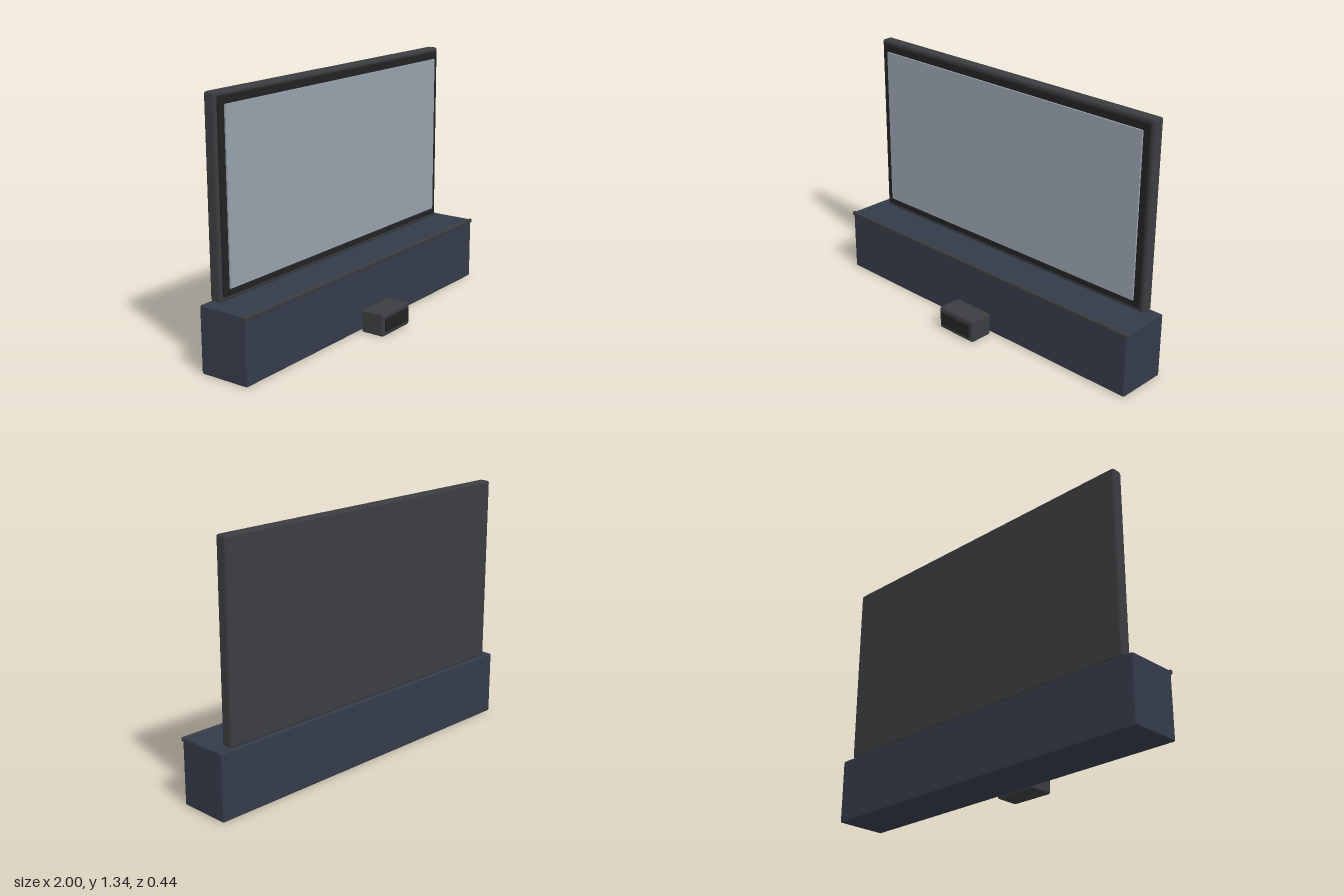
import * as THREE from 'three';
import { RoundedBoxGeometry } from 'three/addons/geometries/RoundedBoxGeometry.js';

const material = (color) => new THREE.MeshStandardMaterial({ color });

export function createModel() {
  const model = new THREE.Group();
  const navy = material(0x343b49);
  const charcoal = material(0x3b3d40);
  const black = material(0x222224);
  const glass = material(0x98a1ad);

  // Box centred on x, given by half width, y range, z range and edge chamfer
  function box(name, mat, halfWidth, [y0, y1], [z0, z1], edge) {
    const size = [halfWidth * 2, y1 - y0, z1 - z0];
    const geometry = edge
      ? new RoundedBoxGeometry(...size, 1, edge)
      : new THREE.BoxGeometry(...size);
    const mesh = new THREE.Mesh(geometry, mat);
    mesh.name = name;
    mesh.position.set(0, (y0 + y1) / 2, (z0 + z1) / 2);
    model.add(mesh);
  }

  // Long low cabinet with a lip along its top front edge
  box('cabinet', navy, 0.995, [0, 0.345], [-0.22, 0.06], 0.008);
  box('frontLip', charcoal, 1, [0.325, 0.347], [0.047, 0.066], 0.006);

  // Flat display: casing, raised bezel and screen pane
  box('displayCasing', charcoal, 0.93, [0.347, 1.342], [-0.212, -0.15], 0.012);
  box('displayBezel', black, 0.91, [0.37, 1.322], [-0.17, -0.14], 0.005);
  box('screen', glass, 0.873, [0.408, 1.282], [-0.15, -0.131], 0);

  // Small speaker box standing in front of the cabinet
  box('speakerBox', charcoal, 0.122, [0, 0.123], [0.077, 0.212], 0.012);
  box('speakerFace', black, 0.102, [0.026, 0.098], [0.2, 0.222], 0.004);

  return model;
}
